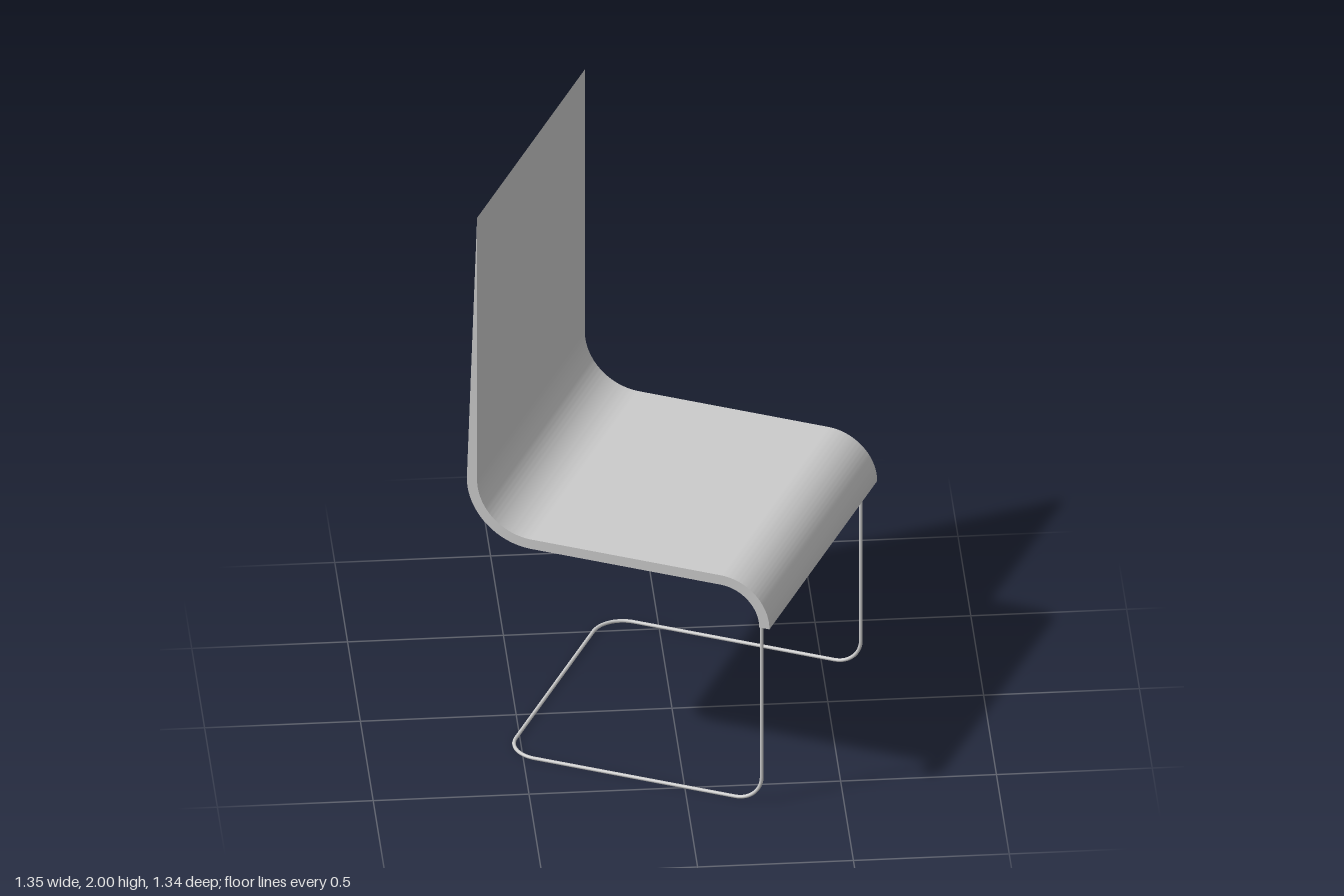
import * as THREE from 'three';
import { toCreasedNormals } from 'three/addons/utils/BufferGeometryUtils.js';

const HALF_WIDTH = 0.4965, HALF_DEPTH = 0.516, THICK = 0.035;
const SEAT_TOP = 0.842, LIP_BOTTOM = 0.675, TUBE_R = 0.006;

// Joins 3D points with straight runs and circular right-angle bends; each point is [x, y, z, bendRadius]
function bentPath(points) {
  const path = new THREE.CurvePath();
  const p = points.map(([x, y, z]) => new THREE.Vector3(x, y, z));
  let from = p[0];
  for (let i = 1; i < p.length - 1; i++) {
    const r = points[i][3], k = r * (1 - 0.5523);
    const back = p[i - 1].clone().sub(p[i]).normalize();
    const next = p[i + 1].clone().sub(p[i]).normalize();
    const at = (dir, d) => p[i].clone().addScaledVector(dir, d);
    path.add(new THREE.LineCurve3(from, at(back, r)));
    path.add(new THREE.CubicBezierCurve3(at(back, r), at(back, k), at(next, k), at(next, r)));
    from = at(next, r);
  }
  path.add(new THREE.LineCurve3(from, p[p.length - 1]));
  return path;
}

// One bent sheet: tall back, flat seat and rolled-down front lip, drawn in side profile
function makeShell(material) {
  const backR = 0.22, lipR = SEAT_TOP - LIP_BOTTOM;
  const under = SEAT_TOP - THICK;
  const s = new THREE.Shape();
  s.moveTo(-HALF_DEPTH, 2);
  s.absarc(-HALF_DEPTH + backR, under + backR, backR, Math.PI, Math.PI * 1.5, false);
  s.absarc(HALF_DEPTH - lipR, LIP_BOTTOM, lipR - THICK, Math.PI / 2, 0, true);
  s.absarc(HALF_DEPTH - lipR, LIP_BOTTOM, lipR, 0, Math.PI / 2, false);
  s.absarc(-HALF_DEPTH + backR, under + backR, backR - THICK, Math.PI * 1.5, Math.PI, true);
  s.lineTo(-HALF_DEPTH + THICK, 2);
  s.closePath();
  const geo = new THREE.ExtrudeGeometry(s, { depth: HALF_WIDTH * 2, bevelEnabled: false, curveSegments: 20 });
  geo.translate(0, 0, -HALF_WIDTH);
  const shell = new THREE.Mesh(toCreasedNormals(geo, 0.5), material);
  shell.name = 'seatAndBack';
  return shell;
}

// One continuous bent tube: under the lip, down, back along the floor, across and up again
function makeFrame(material) {
  const frame = new THREE.Group();
  frame.name = 'legFrame';
  const w = 0.457, front = HALF_DEPTH - THICK - TUBE_R, rear = -0.4, end = 0.34;
  const top = SEAT_TOP - THICK - TUBE_R, floor = TUBE_R;
  const half = (z) => [
    [end, top, z, 0],
    [front, top, z, 0.126],
    [front, floor, z, 0.09],
    [rear, floor, z, 0.1],
  ];
  const path = bentPath([...half(w), ...half(-w).reverse()]);
  const tube = new THREE.Mesh(new THREE.TubeGeometry(path, 320, TUBE_R, 10, false), material);
  tube.name = 'tube';
  frame.add(tube);
  // Caps on the two open tube ends
  for (const z of [w, -w]) {
    const cap = new THREE.Mesh(new THREE.CircleGeometry(TUBE_R, 10), material);
    cap.name = 'tubeEnd';
    cap.rotation.y = -Math.PI / 2;
    cap.position.set(end, top, z);
    frame.add(cap);
  }
  return frame;
}

export function createModel() {
  const material = new THREE.MeshStandardMaterial({ color: 0xcccccc });
  const chair = new THREE.Group();
  chair.name = 'chair';
  chair.add(makeShell(material), makeFrame(material));
  // The chair stands turned on the floor
  chair.rotation.y = -THREE.MathUtils.degToRad(25);
  const model = new THREE.Group();
  model.name = 'cantileverChair';
  model.add(chair);
  return model;
}
